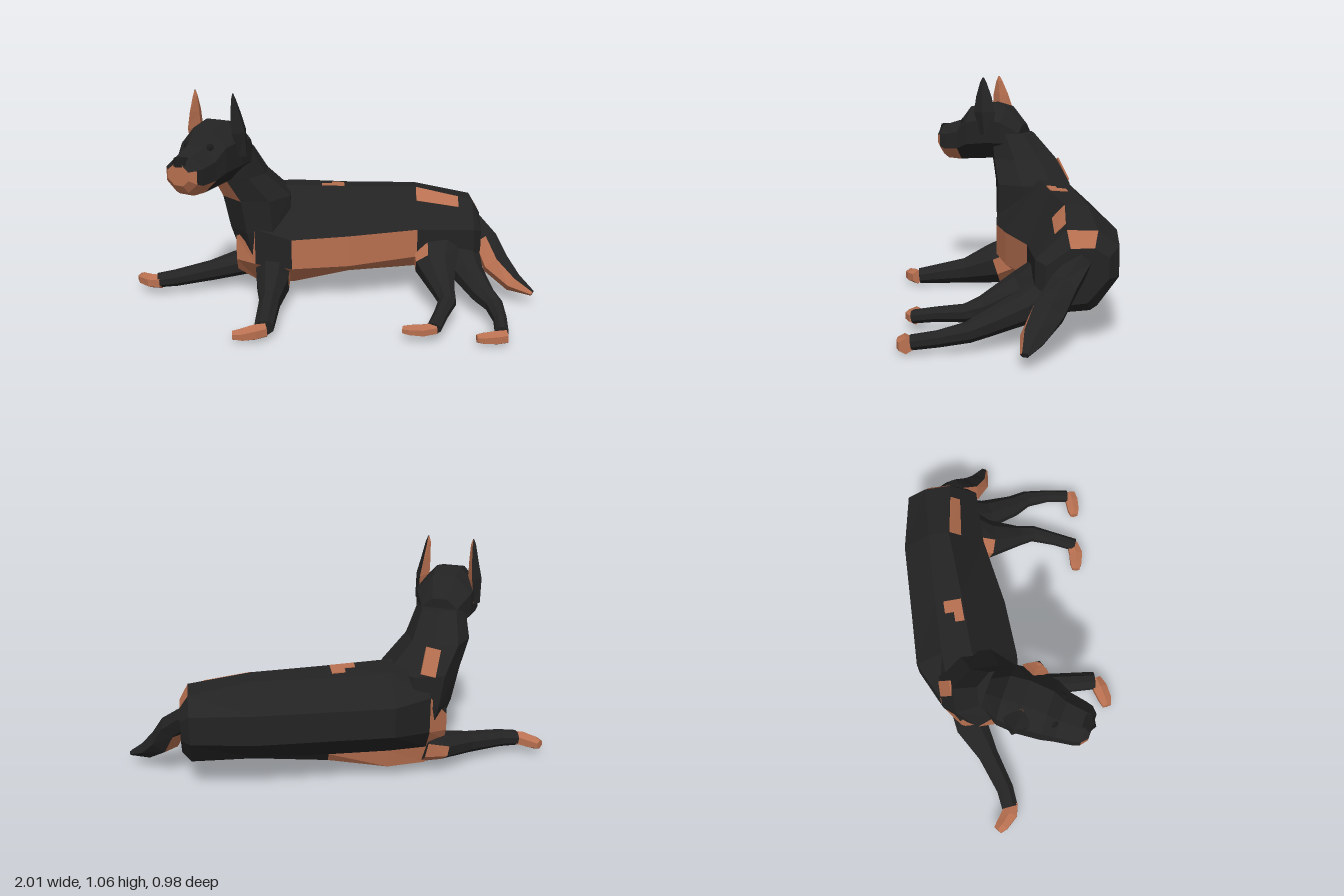
import * as THREE from 'three';

const black = new THREE.MeshStandardMaterial({ color: 0x232323 });
black.name = 'black coat';
const tan = new THREE.MeshStandardMaterial({ color: 0xb87050 });
tan.name = 'tan markings';
const dark = new THREE.MeshStandardMaterial({ color: 0x1b1b1b });
dark.name = 'nose and eyes';

const V = (x, y, z) => new THREE.Vector3(x, y, z);

// Skin rings with flat faces; isTan(segment, side) picks the colour, side -1 is a cap
function loft(name, rings, isTan = () => false) {
  const lists = [[], []];
  const tri = (t, ...p) => p.forEach(v => lists[t ? 1 : 0].push(v.x, v.y, v.z));
  const n = rings[0].length, last = rings.length - 1;
  for (let i = 0; i < last; i++) {
    for (let k = 0; k < n; k++) {
      const m = (k + 1) % n, t = isTan(i, k);
      tri(t, rings[i][k], rings[i][m], rings[i + 1][m]);
      tri(t, rings[i][k], rings[i + 1][m], rings[i + 1][k]);
    }
  }
  for (let k = 1; k < n - 1; k++) {
    tri(isTan(0, -1), rings[0][0], rings[0][k + 1], rings[0][k]);
    tri(isTan(last, -1), rings[last][0], rings[last][k], rings[last][k + 1]);
  }
  const g = new THREE.BufferGeometry();
  g.setAttribute('position', new THREE.Float32BufferAttribute(lists.flat(), 3));
  g.addGroup(0, lists[0].length / 3, 0);
  g.addGroup(lists[0].length / 3, lists[1].length / 3, 1);
  g.computeVertexNormals();
  const mesh = new THREE.Mesh(g, [black, tan]);
  mesh.name = name;
  return mesh;
}

// Tapered tube along points [x, y, z, halfWidth, halfHeight]
function limb(name, path, { n = 8, isTan, dir, ref = V(0, 1, 0), turn = 0.5 } = {}) {
  const pts = path.map(p => V(p[0], p[1], p[2]));
  const rings = path.map((p, i) => {
    const t = dir || pts[Math.min(i + 1, pts.length - 1)].clone().sub(pts[Math.max(i - 1, 0)]).normalize();
    const side = ref.clone().cross(t).normalize(), up = t.clone().cross(side);
    return Array.from({ length: n }, (_, k) => {
      const a = (k + turn) / n * Math.PI * 2;
      return pts[i].clone().addScaledVector(side, Math.cos(a) * p[3]).addScaledVector(up, Math.sin(a) * p[4]);
    });
  });
  return loft(name, rings, isTan);
}

// Thin coat patch lying on one face of a lofted surface
function patch(name, ringA, ringB, k, [u0, u1], [v0, v1]) {
  const at = (u, v) => ringA[k].clone().lerp(ringB[k], u).lerp(ringA[k + 1].clone().lerp(ringB[k + 1], u), v);
  const c = [at(u0, v0), at(u0, v1), at(u1, v1), at(u1, v0)];
  const normal = c[1].clone().sub(c[0]).cross(c[3].clone().sub(c[0])).normalize();
  const top = c.map(p => p.clone().addScaledVector(normal, 0.004));
  const base = c.map(p => p.clone().addScaledVector(normal, -0.004));
  return loft(name, [base, top], () => true);
}

export function createModel() {
  const dog = new THREE.Group();
  dog.name = 'lyingDog';

  // Torso: cross-sections [x, then z,y pairs from the spine over the top flank, belly and lower flank]
  const sections = [
    [-0.48, -0.32, 0.30, -0.28, 0.40, -0.20, 0.42, -0.10, 0.32, -0.09, 0.20, -0.14, 0.13, -0.26, 0.12, -0.29, 0.16, -0.32, 0.22],
    [-0.38, -0.40, 0.42, -0.35, 0.53, -0.20, 0.55, -0.02, 0.38, -0.02, 0.20, -0.14, 0.07, -0.32, 0.06, -0.34, 0.15, -0.40, 0.25],
    [-0.20, -0.49, 0.42, -0.36, 0.54, -0.22, 0.55, 0.00, 0.33, 0.00, 0.18, -0.17, 0.05, -0.34, 0.06, -0.355, 0.15, -0.49, 0.28],
    [0.08, -0.485, 0.42, -0.36, 0.53, -0.23, 0.54, -0.02, 0.345, -0.02, 0.19, -0.21, 0.095, -0.33, 0.11, -0.36, 0.155, -0.485, 0.28],
    [0.42, -0.48, 0.42, -0.35, 0.53, -0.25, 0.535, -0.08, 0.36, -0.08, 0.22, -0.17, 0.14, -0.33, 0.145, -0.36, 0.16, -0.48, 0.28],
    [0.70, -0.43, 0.41, -0.34, 0.475, -0.21, 0.48, -0.08, 0.36, -0.08, 0.20, -0.14, 0.13, -0.31, 0.14, -0.34, 0.16, -0.43, 0.28],
    [0.74, -0.38, 0.37, -0.32, 0.41, -0.22, 0.41, -0.12, 0.34, -0.12, 0.22, -0.16, 0.17, -0.29, 0.18, -0.31, 0.20, -0.38, 0.28],
  ];
  const body = sections.map(([x, ...s]) => Array.from({ length: 9 }, (_, k) => V(x, s[2 * k + 1], s[2 * k])));
  // Tan on the chest, belly and a small spot above the tail
  const bodyTan = [[3, 4, 5, 6, 7, 8], [4, 5, 6], [3, 4, 5, 6], [3, 4], [], [1]];
  dog.add(loft('torso', body, (i, k) => k === -1 ? i === 0 : bodyTan[i].includes(k)));
  dog.add(patch('rumpPatch', body[4], body[5], 2, [0, 0.75], [0.02, 0.34]));
  dog.add(patch('backPatch', body[2], body[3], 1, [0.7, 0.92], [0.3, 0.95]));
  dog.add(patch('backPatchCorner', body[2], body[3], 1, [0.52, 0.7], [0.62, 0.95]));

  // Neck with a tan throat
  dog.add(limb('neck', [
    [-0.34, 0.22, -0.20, 0.13, 0.18], [-0.355, 0.36, -0.205, 0.165, 0.2],
    [-0.375, 0.52, -0.205, 0.18, 0.2], [-0.46, 0.64, -0.17, 0.145, 0.175], [-0.49, 0.77, -0.11, 0.11, 0.12],
  ], { dir: V(0, 1, 0), ref: V(0, 0, 1), isTan: (i, k) => k === 7 || (k === 0 && i >= 2) }));
  dog.add(limb('neckPatch', [[-0.365, 0.525, -0.389, 0.05, 0.006], [-0.40, 0.635, -0.336, 0.05, 0.006]],
    { n: 4, ref: V(0, 0, 1), isTan: () => true }));

  // Head, turned towards the front; its own +z is the muzzle direction
  const head = new THREE.Group();
  head.name = 'head';
  head.position.set(-0.555, 0, 0);
  head.rotation.y = -0.49;
  head.add(limb('skullAndMuzzle', [
    [0, 0.74, -0.195, 0.09, 0.08], [0, 0.775, -0.11, 0.14, 0.14], [0, 0.78, -0.02, 0.147, 0.158],
    [0, 0.765, 0.09, 0.135, 0.15], [0, 0.725, 0.15, 0.115, 0.115],
    [0, 0.715, 0.23, 0.102, 0.1], [0, 0.72, 0.262, 0.092, 0.083], [0, 0.727, 0.288, 0.062, 0.052],
  ], {
    dir: V(0, 0, 1),
    isTan: (i, k) => k === -1 ? i > 0 : (k === 5 && i >= 2) || (i >= 4 && k >= 4 && k <= 6) || (i === 6 && k >= 3),
  }));
  const nose = new THREE.Mesh(new THREE.CylinderGeometry(0.034, 0.045, 0.035, 6), dark);
  nose.name = 'nose';
  nose.position.set(0, 0.785, 0.258);
  head.add(nose);
  for (const s of [1, -1]) {
    const eye = new THREE.Mesh(new THREE.IcosahedronGeometry(0.022, 1), dark);
    eye.name = s > 0 ? 'leftEye' : 'rightEye';
    eye.position.set(s * 0.06, 0.825, 0.123);
    head.add(eye);
    // Ears: black outside, tan inside
    head.add(limb(s > 0 ? 'leftEar' : 'rightEar', [
      [s * 0.135, 0.765, -0.03, 0.022, 0.03], [s * 0.125, 0.88, -0.02, 0.032, 0.06],
      [s * 0.115, 0.96, -0.012, 0.022, 0.044], [s * 0.108, 1.035, -0.006, 0.012, 0.018], [s * 0.107, 1.06, -0.005, 0.003, 0.004],
    ], {
      n: 4, turn: 0, dir: V(0, 1, 0), ref: V(0, 0, 1),
      isTan: (i, k) => s > 0 ? k === 0 || k === 3 : k === 1 || k === 2,
    }));
  }
  dog.add(head);

  // Legs with tan paws; the third entry lists tan sides of the first segment
  const legs = {
    lowerForeleg: [
      [[-0.30, 0.17, -0.16, 0.1, 0.11], [-0.295, 0.105, 0.005, 0.085, 0.105], [-0.30, 0.07, 0.15, 0.052, 0.066], [-0.31, 0.045, 0.39, 0.047, 0.038]],
      [[-0.30, 0.04, 0.40, 0.03, 0.034], [-0.35, 0.036, 0.415, 0.042, 0.038], [-0.41, 0.03, 0.43, 0.038, 0.03], [-0.45, 0.03, 0.435, 0.025, 0.022]],
      [5, 6, 7],
    ],
    outstretchedForeleg: [
      [[-0.38, 0.14, -0.27, 0.1, 0.09], [-0.47, 0.12, -0.27, 0.085, 0.065], [-0.62, 0.095, -0.21, 0.052, 0.052], [-0.80, 0.075, -0.15, 0.044, 0.042], [-0.89, 0.065, -0.14, 0.042, 0.036]],
      [[-0.87, 0.062, -0.13, 0.038, 0.036], [-0.92, 0.06, -0.145, 0.044, 0.037], [-0.97, 0.055, -0.19, 0.036, 0.033], [-0.99, 0.055, -0.215, 0.025, 0.022]],
      [3, 4, 5, 6],
    ],
    upperHindLeg: [
      [[0.54, 0.25, -0.18, 0.15, 0.11], [0.51, 0.18, -0.045, 0.105, 0.085], [0.535, 0.115, 0.12, 0.055, 0.05], [0.545, 0.095, 0.2, 0.043, 0.04], [0.50, 0.08, 0.32, 0.034, 0.033], [0.46, 0.06, 0.42, 0.034, 0.03]],
      [[0.47, 0.055, 0.41, 0.032, 0.028], [0.41, 0.05, 0.42, 0.04, 0.028], [0.35, 0.047, 0.41, 0.034, 0.024], [0.32, 0.047, 0.405, 0.022, 0.018]],
      [2, 3, 4],
    ],
    lowerHindLeg: [
      [[0.64, 0.23, -0.18, 0.1, 0.09], [0.67, 0.15, -0.04, 0.08, 0.07], [0.725, 0.1, 0.12, 0.057, 0.052], [0.765, 0.08, 0.2, 0.044, 0.043], [0.775, 0.06, 0.32, 0.032, 0.035], [0.765, 0.045, 0.43, 0.032, 0.032]],
      [[0.785, 0.035, 0.45, 0.032, 0.032], [0.74, 0.032, 0.455, 0.038, 0.033], [0.68, 0.028, 0.455, 0.034, 0.027], [0.65, 0.028, 0.455, 0.022, 0.02]],
      [],
    ],
  };
  for (const [name, [leg, paw, tanSides]] of Object.entries(legs)) {
    dog.add(limb(name, leg, { isTan: (i, k) => i === 0 && tanSides.includes(k) }));
    dog.add(limb(name + 'Paw', paw, { n: 6, isTan: () => true }));
  }

  // Tail, tan along the inner and under sides
  dog.add(limb('tail', [
    [0.71, 0.35, -0.27, 0.05, 0.05], [0.775, 0.27, -0.19, 0.07, 0.06], [0.82, 0.17, -0.12, 0.08, 0.065],
    [0.90, 0.095, -0.05, 0.06, 0.045], [0.99, 0.055, -0.005, 0.02, 0.012],
  ], { n: 6, turn: 0, isTan: (i, k) => i > 0 && k >= 2 && k <= 4 }));

  return dog;
}
